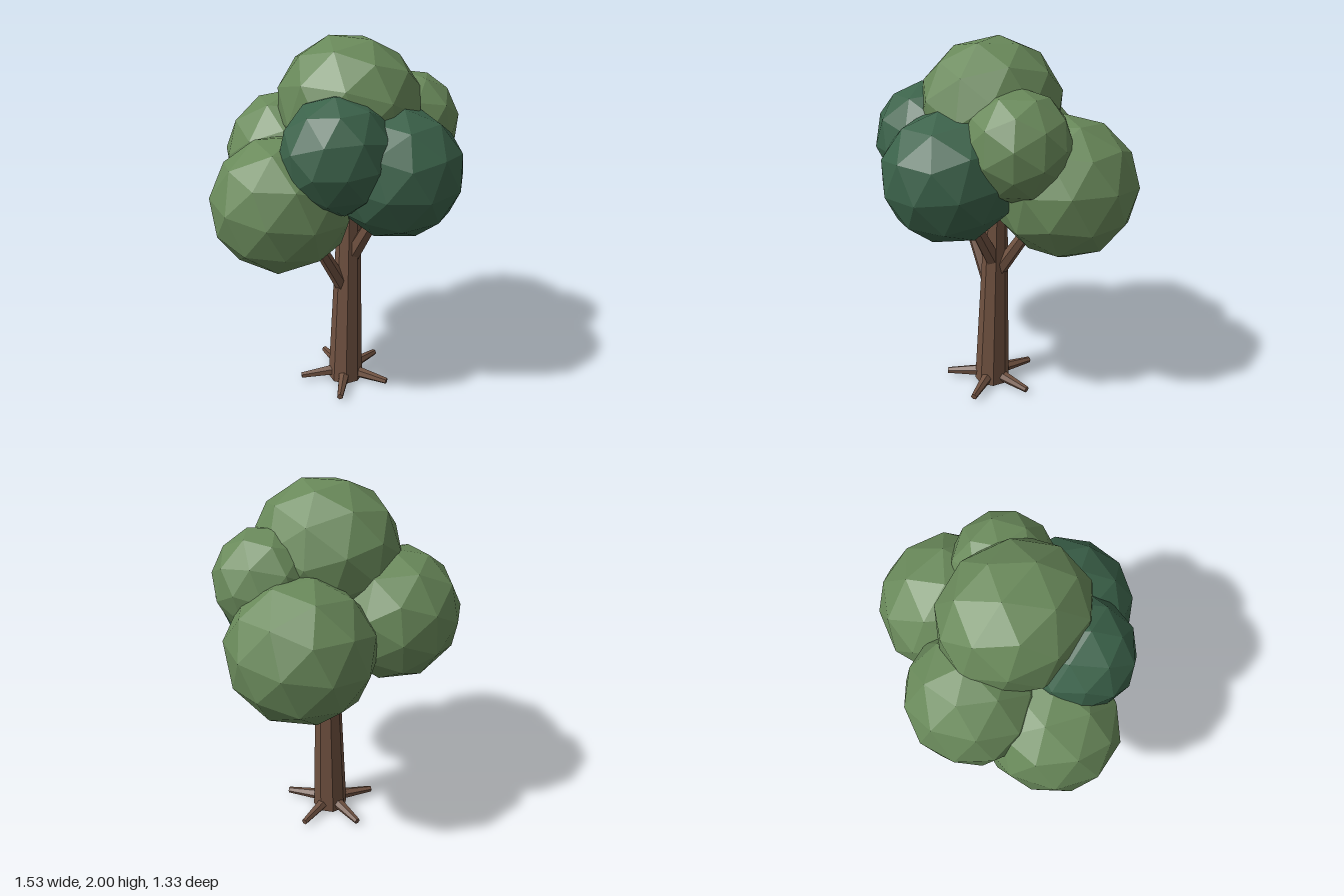
import * as THREE from 'three';

const mat = (name, color) => {
  const m = new THREE.MeshStandardMaterial({ color, flatShading: true });
  m.name = name;
  return m;
};

export function createModel() {
  const tree = new THREE.Group();
  tree.name = 'tree';
  const bark = mat('bark brown', 0x6f5140);
  const leaf = mat('leaf green', 0x69895a);
  const darkLeaf = mat('dark leaf green', 0x3b624a);

  const add = (name, geometry, material) => {
    const mesh = new THREE.Mesh(geometry, material);
    mesh.name = name;
    tree.add(mesh);
    return mesh;
  };

  // Tapered limb running from one point to another
  const limb = (name, from, to, r0, r1, sides = 6) => {
    const a = new THREE.Vector3(...from), b = new THREE.Vector3(...to);
    const dir = b.clone().sub(a);
    const mesh = add(name, new THREE.CylinderGeometry(r1, r0, dir.length(), sides), bark);
    mesh.position.copy(a).add(b).multiplyScalar(0.5);
    mesh.quaternion.setFromUnitVectors(new THREE.Vector3(0, 1, 0), dir.normalize());
  };

  // Trunk: eight sides, its top drifting slightly towards +x
  const trunk = new THREE.CylinderGeometry(0.058, 0.1, 1.2, 8);
  trunk.translate(0, 0.605, 0);
  const p = trunk.attributes.position;
  for (let i = 0; i < p.count; i++) p.setX(i, p.getX(i) + 0.027 * p.getY(i));
  trunk.computeVertexNormals();
  add('trunk', trunk, bark);

  // Five roots spread evenly around the foot
  for (let i = 0; i < 5; i++) {
    const a = (i * Math.PI * 2) / 5, c = Math.cos(a), s = Math.sin(a);
    limb('root', [0.05 * c, 0.048, 0.05 * s], [0.265 * c, 0.033, 0.265 * s], 0.035, 0.018);
  }

  // Branches reaching into the foliage
  limb('leftBranch', [0.04, 0.72, 0], [0.27, 1.09, -0.05], 0.042, 0.031);
  limb('rightBranch', [0, 0.58, 0], [-0.27, 1.07, -0.05], 0.042, 0.031);
  limb('frontBranch', [0.03, 0.81, 0.03], [0.03, 1.13, 0.22], 0.046, 0.033);
  limb('backBranch', [0.02, 0.82, -0.02], [-0.09, 1.12, -0.16], 0.042, 0.031);

  // Faceted leaf clumps: centre, radii, turn
  const clumps = [
    ['rightFoliage', leaf, [-0.39, 1.205, -0.07], [0.38, 0.355, 0.36], [0.3, 0.2, 0.5]],
    ['leftFoliage', leaf, [0.4, 1.28, -0.11], [0.375, 0.37, 0.38], [0.9, 0.4, 0.1]],
    ['backFoliage', leaf, [-0.1, 1.35, -0.325], [0.35, 0.35, 0.345], [0.2, 1.1, 0.7]],
    ['topFoliage', leaf, [0.01, 1.655, 0.015], [0.36, 0.36, 0.395], [0.5, 0.8, 0.3]],
    ['smallLeftFoliage', leaf, [0.305, 1.535, 0.165], [0.275, 0.28, 0.275], [1.2, 0.3, 0.6]],
    ['frontFoliage', darkLeaf, [0.012, 1.365, 0.335], [0.35, 0.338, 0.345], [0.7, 0.6, 0.9]],
    ['smallRightFoliage', darkLeaf, [-0.26, 1.485, 0.19], [0.297, 0.297, 0.287], [0.1, 0.9, 0.2]],
  ];
  for (const [name, material, centre, radii, turn] of clumps) {
    const geo = new THREE.IcosahedronGeometry(1, 1);
    geo.rotateX(turn[0]).rotateY(turn[1]).rotateZ(turn[2]);
    geo.scale(...radii);
    add(name, geo, material).position.set(...centre);
  }
  return tree;
}
